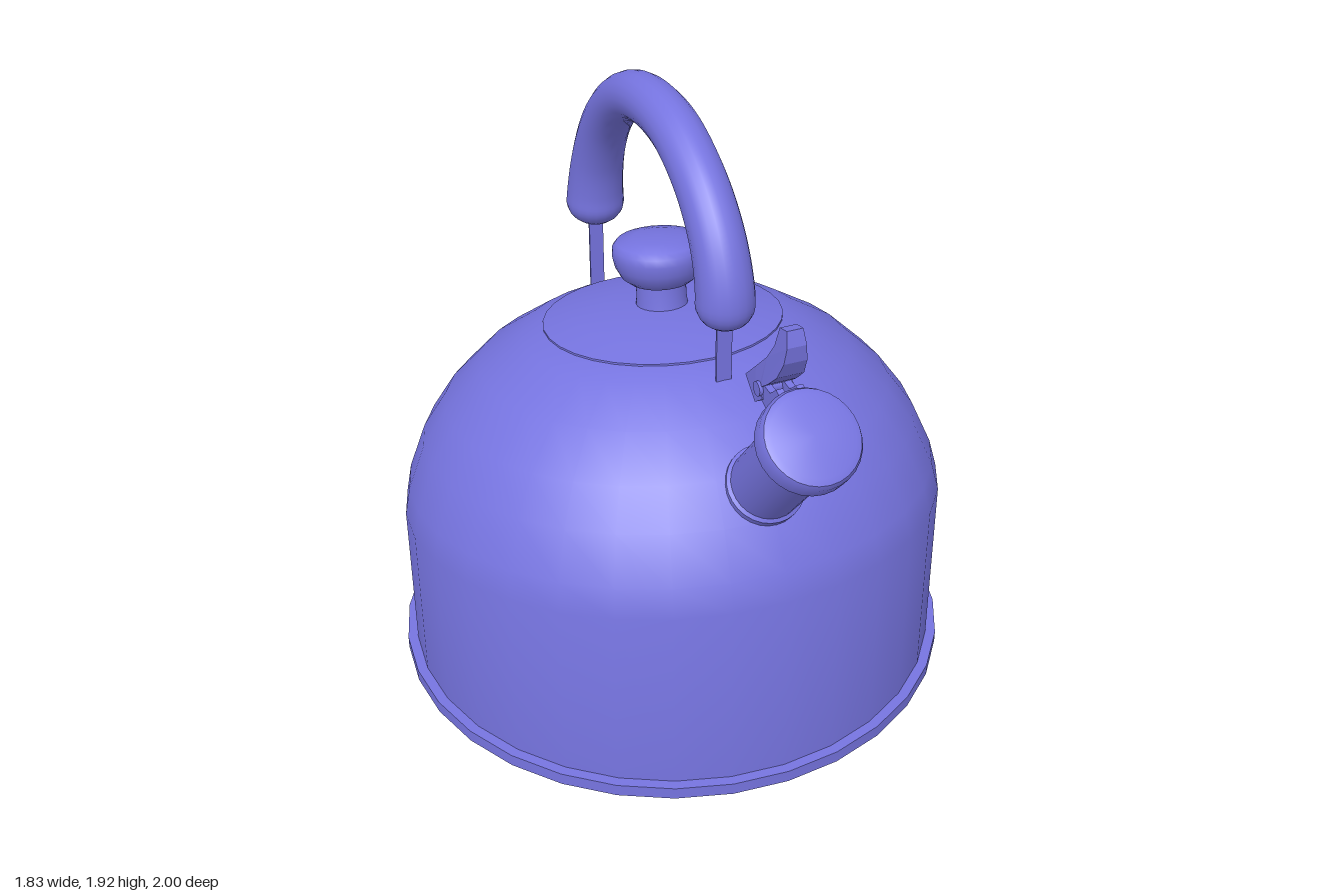
import * as THREE from 'three';
import { toCreasedNormals } from 'three/addons/utils/BufferGeometryUtils.js';

const TILT = 0.113;      // backward lean of the dome, lid and knob
const BREAK_Y = 0.57;    // height where the wall turns into the dome
const AXIS_Z = -0.085;   // body axis

export function createModel() {
  const model = new THREE.Group();
  model.name = 'kettle';
  const enamel = new THREE.MeshStandardMaterial({ color: 0x7674e0 });
  enamel.name = 'violetEnamel';

  const add = (name, geometry, parent = model) => {
    const mesh = new THREE.Mesh(geometry, enamel);
    mesh.name = name;
    parent.add(mesh);
    return mesh;
  };
  const lathe = (points, segments = 32) =>
    new THREE.LatheGeometry(points.map(([r, y]) => new THREE.Vector2(r, y)), segments);
  const crease = (geometry, angle = 0.6) => toCreasedNormals(geometry, angle);
  // Side profile given as [z, y], extruded across x
  const sideExtrude = (points, width) => {
    const shape = new THREE.Shape(points.map(([z, y]) => new THREE.Vector2(z, y)));
    const geometry = new THREE.ExtrudeGeometry(shape, { depth: width, bevelEnabled: false });
    return geometry.rotateY(-Math.PI / 2).translate(width / 2, 0, 0);
  };

  // Base plate
  const base = add('basePlate', crease(lathe([[0, 0], [0.917, 0], [0.917, 0.04], [0.87, 0.04]])));
  base.position.z = AXIS_Z;

  // Body: straight wall flowing into a leaning dome
  const bodyGeometry = lathe([
    [0.884, 0.03], [0.884, 0.57], [0.863, 0.66], [0.802, 0.805], [0.72, 0.92],
    [0.6, 1.035], [0.455, 1.123], [0.36, 1.158], [0, 1.17],
  ]);
  const p = bodyGeometry.attributes.position;
  for (let i = 0; i < p.count; i++) {
    if (p.getY(i) < 0.5) continue;
    const h = p.getY(i) - BREAK_Y, z = p.getZ(i);
    p.setY(i, BREAK_Y + h * Math.cos(TILT) + z * Math.sin(TILT));
    p.setZ(i, z * Math.cos(TILT) - h * Math.sin(TILT));
  }
  add('body', crease(bodyGeometry)).position.z = AXIS_Z;

  // Lid and knob share the dome's lean
  const lidGroup = new THREE.Group();
  lidGroup.name = 'lidAssembly';
  lidGroup.position.set(0, BREAK_Y, AXIS_Z);
  lidGroup.rotation.x = -TILT;
  model.add(lidGroup);
  add('lid', crease(lathe([[0.385, 0.56], [0.385, 0.585], [0.29, 0.61], [0.18, 0.628], [0, 0.635]])), lidGroup);
  add('knob', crease(lathe([
    [0.085, 0.61], [0.08, 0.66], [0.08, 0.705], [0.1, 0.71], [0.125, 0.73], [0.143, 0.765],
    [0.15, 0.8], [0.148, 0.825], [0.135, 0.842], [0.08, 0.855], [0, 0.86],
  ], 28), 0.9), lidGroup);

  // Handle grip: a swept arch, thicker and rounded at both ends
  const path = new THREE.CatmullRomCurve3([
    [0.315, 1.345], [0.317, 1.46], [0.275, 1.58], [0.2, 1.68], [0.1, 1.76], [-0.04, 1.825],
    [-0.2, 1.845], [-0.36, 1.822], [-0.5, 1.752], [-0.62, 1.635], [-0.7, 1.49], [-0.735, 1.36], [-0.745, 1.228],
  ].map(([z, y]) => new THREE.Vector3(0, y, z)));
  const steps = 120, sides = 20, length = path.getLength();
  const grip = new THREE.TubeGeometry(path, steps, 1, sides);
  const g = grip.attributes.position, v = new THREE.Vector3();
  for (let i = 0; i < g.count; i++) {
    const u = Math.floor(i / (sides + 1)) / steps;
    const fromEnd = Math.min(u, 1 - u) * length;
    const swell = Math.pow(Math.abs(u - 0.5) * 2, 3);
    const full = 0.079 + swell * (u < 0.5 ? 0.014 : 0.026);
    const k = Math.max(0, 1 - fromEnd / 0.085);
    const radius = fromEnd < 1e-6 ? 0 : full * Math.sqrt(1 - k * k);
    const centre = path.getPointAt(u);
    v.fromBufferAttribute(g, i).sub(centre).multiplyScalar(radius).add(centre);
    g.setXYZ(i, v.x, v.y, v.z);
  }
  add('handleGrip', crease(grip, 1.0));

  // Flat straps holding the grip, each with a small curled foot on the dome
  for (const [side, z, low, high, footZ, footY, lean] of [
    ['front', 0.315, 1.11, 1.38, 0.335, 1.135, 0.4],
    ['back', -0.742, 0.9, 1.27, -0.755, 0.915, -0.85],
  ]) {
    const strap = add(side + 'Strap', new THREE.BoxGeometry(0.05, high - low, 0.008));
    strap.position.set(0, (low + high) / 2, z);
    const foot = add(side + 'StrapFoot', new THREE.SphereGeometry(1, 14, 10));
    foot.scale.set(0.027, 0.02, 0.04);
    foot.position.set(0, footY, footZ);
    foot.rotation.x = lean;
  }

  // Spout: neck, collar against the dome and closing cap
  const spout = new THREE.Group();
  spout.name = 'spout';
  spout.position.set(0, 0.972, 0.612);
  spout.rotation.x = 0.705;
  model.add(spout);
  add('spoutNeck', lathe([[0.11, -0.09], [0.11, 0.38]], 28), spout);
  add('spoutCollar', crease(lathe([[0.121, -0.05], [0.121, 0.008], [0.109, 0.016]], 28)), spout);
  add('spoutCap', crease(lathe([
    [0.1, 0.355], [0.14, 0.355], [0.148, 0.365], [0.148, 0.41], [0.14, 0.426], [0.122, 0.433], [0, 0.436],
  ], 28)), spout);

  // Cap lever: curved thumb piece narrowing towards its tip
  const lever = sideExtrude([
    [0.76, 1.56], [0.775, 1.515], [0.77, 1.465], [0.743, 1.41], [0.695, 1.365], [0.655, 1.335],
    [0.665, 1.3], [0.62, 1.268], [0.556, 1.325], [0.62, 1.385], [0.674, 1.44], [0.705, 1.49], [0.72, 1.552],
  ], 0.09);
  const l = lever.attributes.position;
  for (let i = 0; i < l.count; i++) {
    const t = THREE.MathUtils.clamp((l.getY(i) - 1.38) / 0.18, 0, 1);
    l.setX(i, l.getX(i) * (1 - 0.45 * t));
  }
  lever.computeVertexNormals();
  add('capLever', lever);

  // Twin hinge lugs and their rivet
  for (const s of [-1, 1]) {
    const lug = add('hingeLug', sideExtrude(
      [[0.765, 1.36], [0.74, 1.372], [0.705, 1.342], [0.63, 1.35], [0.618, 1.31], [0.69, 1.275], [0.73, 1.31]], 0.022));
    lug.position.x = s * 0.03;
  }
  const rivet = add('hingeRivet', new THREE.CylinderGeometry(0.022, 0.022, 0.104, 16).rotateZ(Math.PI / 2));
  rivet.position.set(0, 1.324, 0.642);

  return model;
}
